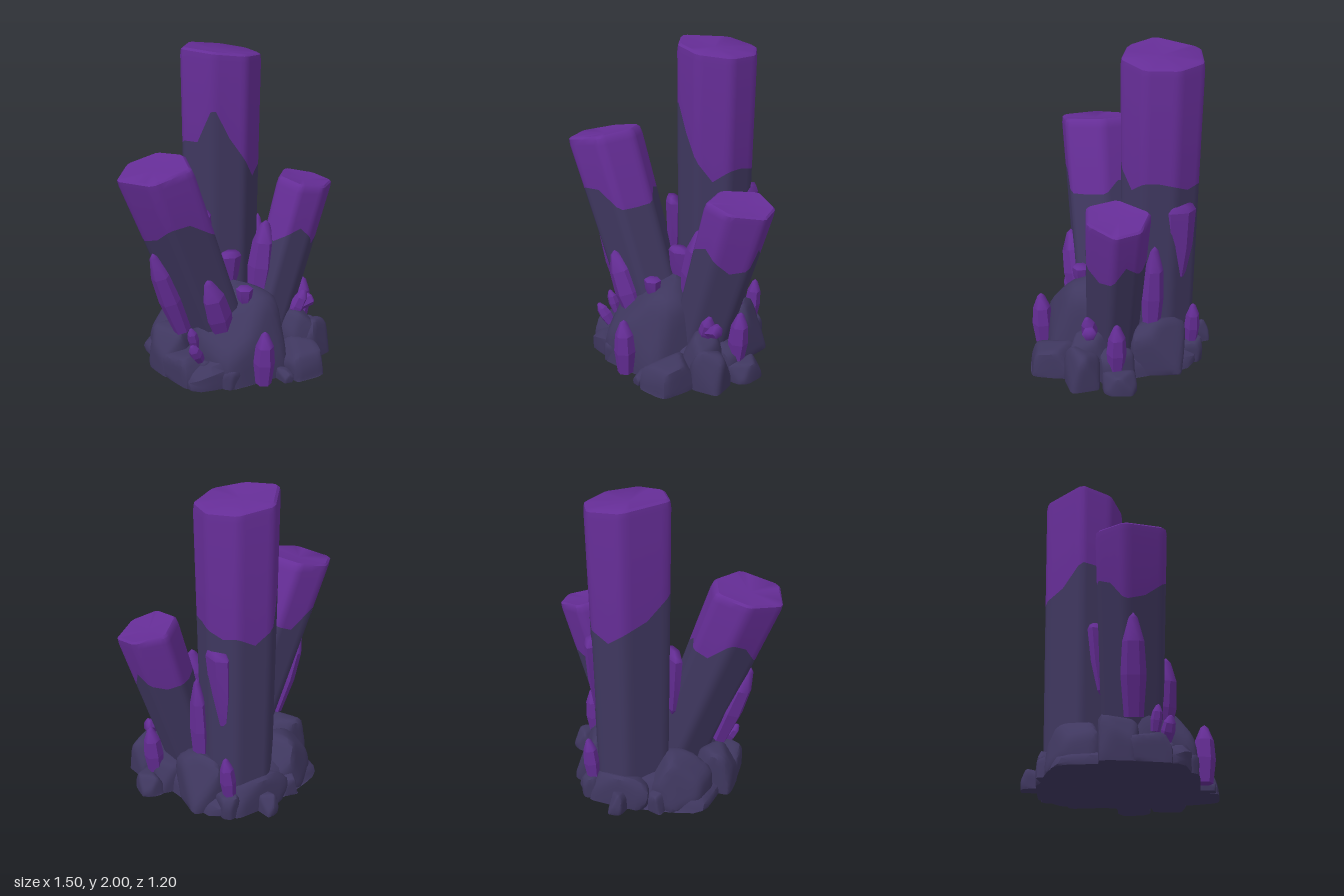
import * as THREE from 'three';
import { mergeVertices, toCreasedNormals } from 'three/addons/utils/BufferGeometryUtils.js';

const purple = new THREE.MeshStandardMaterial({ color: 0x652d96 });
purple.name = 'crystalPurple';
const stone = new THREE.MeshStandardMaterial({ color: 0x3f375f });
stone.name = 'darkStone';

function seeded(seed) {
  let s = seed * 7919 + 13;
  return () => (s = (s * 16807) % 2147483647) / 2147483647;
}

function mesh(name, geometry, material) {
  const m = new THREE.Mesh(geometry, material);
  m.name = name;
  return m;
}

// Leaning prism: stone below, purple above a jagged line.
// corners: [x, z] outline at the top; line: heights of the colour edge at each corner and mid side;
// foot: scale of the outline at the ground.
function pillar(name, corners, line, topY, tiltX, tiltZ, base, foot) {
  const n = corners.length;
  const xs = corners.map(c => c[0]), zs = corners.map(c => c[1]);
  const cx = (Math.min(...xs) + Math.max(...xs)) / 2;
  const cz = (Math.min(...zs) + Math.max(...zs)) / 2;
  const outline = [];
  for (let i = 0; i < n; i++) {
    const a = corners[i], b = corners[(i + 1) % n];
    for (const t of [0.08, 0.2, 0.5, 0.8, 0.92]) {
      const h0 = line[2 * i], h1 = line[2 * i + 1], h2 = line[(2 * i + 2) % (2 * n)];
      const h = t < 0.5 ? h0 + (h1 - h0) * t * 2 : h1 + (h2 - h1) * (t * 2 - 1);
      outline.push([a[0] + (b[0] - a[0]) * t - cx, a[1] + (b[1] - a[1]) * t - cz, h]);
    }
  }
  const m = outline.length, pos = [], index = [];
  // point on the shaft at height y, with the outline scaled by k
  const put = (p, y, k) => {
    const t = y / topY, s = k * (foot + (1 - foot) * Math.min(t * 1.05, 1));
    pos.push(base[0] + (cx - base[0]) * t + p[0] * s, y, base[1] + (cz - base[1]) * t + p[1] * s);
  };
  const top = p => topY + tiltX * p[0] + tiltZ * p[1];
  for (const p of outline) put(p, 0.02, 1);
  for (const p of outline) put(p, p[2], 1);
  for (const p of outline) put(p, top(p) - 0.05, 1);
  for (const p of outline) put(p, top(p) - 0.012, 0.98);
  for (const p of outline) put(p, top(p), 0.91);
  put([0, 0], topY - 0.015, 1);
  for (let r = 0; r < 5; r++) {
    for (let i = 0; i < m; i++) {
      const j = (i + 1) % m, a = r * m + i, b = r * m + j;
      if (r === 4) index.push(a, 5 * m, b);
      else index.push(a, a + m, b, a + m, b + m, b);
    }
  }
  const g = new THREE.BufferGeometry();
  g.setAttribute('position', new THREE.Float32BufferAttribute(pos, 3));
  g.setIndex(index);
  const smooth = toCreasedNormals(g, 0.75);
  smooth.clearGroups();
  smooth.addGroup(0, m * 6, 0);
  smooth.addGroup(m * 6, index.length - m * 6, 1);
  return mesh(name, smooth, [stone, purple]);
}

// Small crystal from base point to tip; a blunt one widens toward a cut end.
function shard(from, to, radius, blunt = false, depth = 1, yaw = 0) {
  const profile = blunt
    ? [[0, 0], [0.45, 0.12], [0.85, 0.5], [1, 0.93], [0.8, 1], [0, 1]]
    : [[0, 0], [0.75, 0], [1, 0.4], [0.85, 0.72], [0.35, 0.95], [0, 1]];
  const g = new THREE.LatheGeometry(profile.map(p => new THREE.Vector2(...p)), 6);
  const s = mesh('smallCrystal', toCreasedNormals(g, 0.5), purple);
  const a = new THREE.Vector3(...from), d = new THREE.Vector3(...to).sub(a);
  s.position.copy(a);
  s.scale.set(radius, d.length(), radius * depth);
  s.quaternion.setFromUnitVectors(new THREE.Vector3(0, 1, 0), d.normalize());
  s.rotateY(yaw);
  return s;
}

// Softly faceted boulder filling the given x, y and z ranges, cut flat at the ground.
// boxy below 1 flattens its sides and top.
function rock(name, seed, rx, ry, rz, boxy) {
  const rand = seeded(seed), planes = [];
  for (let i = 0; i < 13; i++) {
    const y = 1 - (2 * i + 1) / 13, a = i * 2.4 + rand() * 1.2, r = Math.sqrt(1 - y * y);
    planes.push(new THREE.Vector3(Math.cos(a) * r, y, Math.sin(a) * r).divideScalar(0.82 + rand() * 0.3));
  }
  // slightly skewed side and top planes
  for (const [x, y, z] of [[1, 0, 0], [-1, 0, 0], [0, 0, 1], [0, 0, -1], [0, 1, 0]]) {
    const n = new THREE.Vector3(x + rand() * 0.5 - 0.25, y + rand() * 0.2 - 0.1, z + rand() * 0.5 - 0.25);
    planes.push(n.normalize().divideScalar(boxy));
  }
  let g = new THREE.IcosahedronGeometry(1, 7);
  g.deleteAttribute('uv');
  g.deleteAttribute('normal');
  g = mergeVertices(g, 1e-4);
  const p = g.attributes.position, v = new THREE.Vector3();
  for (let i = 0; i < p.count; i++) {
    v.fromBufferAttribute(p, i);
    const sum = planes.reduce((t, n) => t + Math.max(0, v.dot(n)) ** 20, 0);
    v.multiplyScalar(sum ** (-1 / 20));
    p.setXYZ(i, v.x, v.y, v.z);
  }
  g.computeBoundingBox();
  const { min, max } = g.boundingBox;
  const fit = (q, lo, hi, range) => range[0] + (range[1] - range[0]) * (q - lo) / (hi - lo);
  for (let i = 0; i < p.count; i++) {
    p.setXYZ(i, fit(p.getX(i), min.x, max.x, rx),
      Math.max(0, fit(p.getY(i), min.y, max.y, ry)), fit(p.getZ(i), min.z, max.z, rz));
  }
  return mesh(name, toCreasedNormals(g, 0.7), stone);
}

export function createModel() {
  const model = new THREE.Group();
  model.name = 'crystalCluster';

  // three large pillars
  model.add(
    pillar('tallCrystal',
      [[0.375, -0.3], [0.345, -0.1], [0.16, 0.01], [-0.04, -0.06], [-0.16, -0.25], [0.04, -0.5], [0.27, -0.47]],
      [1.22, 1.24, 1.24, 1.17, 1.3, 1.45, 1.66, 1.42, 1.42, 1.28, 1.22, 1.14, 1.2, 1.18],
      1.972, -0.12, 0, [0.1, -0.235], 0.9),
    pillar('leftCrystal',
      [[-0.78, 0.03], [-0.61, -0.14], [-0.38, -0.13], [-0.29, 0.05], [-0.38, 0.28], [-0.67, 0.28]],
      [0.93, 1.05, 1.1, 0.98, 1.02, 1.05, 0.98, 0.97, 0.97, 1.07, 1.06, 0.97],
      1.39, 0.17, 0, [-0.02, 0.07], 0.82),
    pillar('rightCrystal',
      [[0.54, -0.12], [0.73, -0.03], [0.77, 0.13], [0.59, 0.27], [0.4, 0.25], [0.36, 0.06]],
      [0.8, 0.77, 0.8, 0.86, 0.74, 0.72, 0.8, 0.87, 0.84, 0.78, 0.8, 0.78],
      1.14, -0.17, -0.05, [0.22, 0.07], 0.84));

  // small crystals: base, tip, radius, blunt, depth, yaw
  const shards = [
    [[-0.02, 0.01, 0.49], [-0.02, 0.37, 0.5], 0.067],
    [[-0.14, 0.24, 0.22], [-0.29, 0.69, 0.27], 0.09],
    [[-0.36, 0.3, 0.08], [-0.56, 0.86, 0.08], 0.075],
    [[0.19, 0.4, 0.1], [0.26, 0.91, 0.09], 0.083],
    [[0.0, 0.42, 0.24], [0.0, 0.56, 0.24], 0.055, true],
    [[0.54, 0.1, 0.09], [0.57, 0.44, 0.09], 0.062],
    [[0.39, 0.25, 0.22], [0.46, 0.44, 0.26], 0.05],
    [[0.36, 0.31, 0.24], [0.52, 0.36, 0.25], 0.045, true],
    [[-0.34, 0.22, 0.2], [-0.38, 0.37, 0.22], 0.035],
    [[-0.34, 0.16, 0.26], [-0.42, 0.29, 0.29], 0.04],
    [[-0.1, 0.5, -0.1], [-0.125, 0.98, -0.125], 0.1, true, 0.45, -Math.PI / 4],
    [[0.03, 0.4, 0.0], [0.04, 0.71, 0.02], 0.075, true, 0.7],
    [[0.29, 0.53, -0.33], [0.315, 1.09, -0.32], 0.06, true, 1.85],
    [[0.35, 0.25, -0.16], [0.375, 0.85, -0.17], 0.05, false, 1.4],
    [[0.3, 0.12, -0.43], [0.33, 0.41, -0.43], 0.05],
  ];
  for (const s of shards) model.add(shard(...s));

  // main rock mass
  model.add(
    rock('rockBed', 3, [-0.45, 0.5], [-0.3, 0.25], [-0.5, 0.43], 0.95),
    rock('frontBoulder', 5, [-0.33, 0.37], [-0.42, 0.53], [-0.1, 0.47], 0.97),
    rock('rightBoulder', 8, [0.18, 0.5], [-0.28, 0.34], [-0.38, -0.02], 0.95),
    rock('backLeftBoulder', 11, [-0.41, 0.02], [-0.2, 0.33], [-0.43, -0.04], 1.05));

  // loose stones round the rim: x, height and z ranges
  const stones = [
    [[-0.5, -0.18], 0.19, [-0.02, 0.3]],
    [[-0.51, -0.25], 0.29, [-0.13, 0.13]],
    [[0.16, 0.44], 0.19, [0.3, 0.6]],
    [[0.36, 0.6], 0.25, [0.18, 0.4]],
    [[0.28, 0.5], 0.31, [0.08, 0.38]],
    [[0.52, 0.68], 0.13, [-0.03, 0.18]],
    [[0.36, 0.58], 0.22, [-0.04, 0.2]],
    [[0.09, 0.17], 0.07, [0.42, 0.57]],
    [[-0.27, -0.14], 0.13, [0.3, 0.45]],
    [[0.03, 0.14], 0.13, [-0.6, -0.4]],
    [[-0.2, -0.09], 0.14, [-0.48, -0.34]],
    [[0.24, 0.37], 0.15, [-0.5, -0.34]],
    [[-0.1, 0.3], 0.22, [-0.51, -0.25]],
    [[-0.36, -0.22], 0.16, [0.18, 0.33]],
  ];
  stones.forEach(([x, h, z], i) => model.add(rock('rimStone', 20 + i, x, [-h, h], z, 0.85)));
  return model;
}
